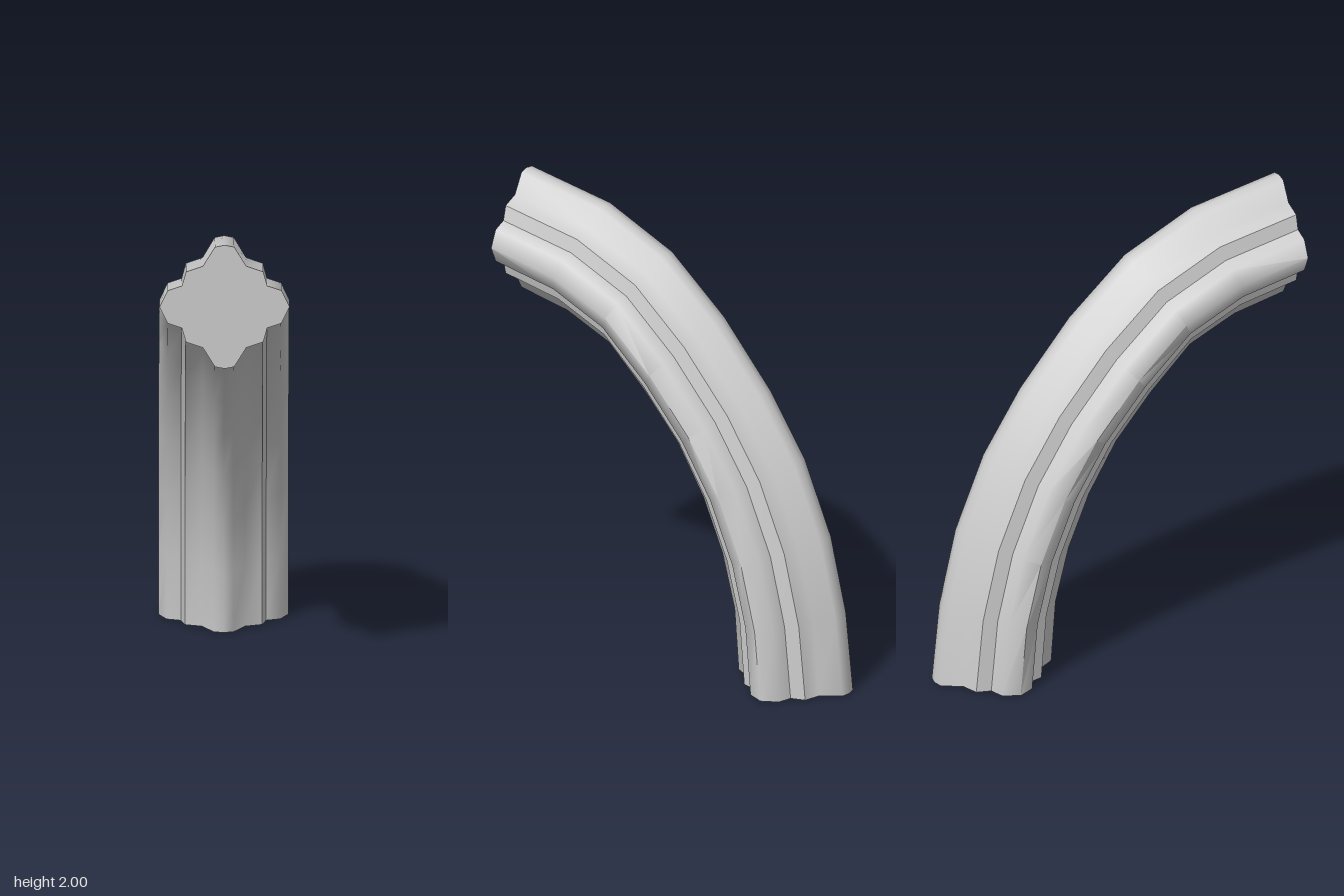
import * as THREE from 'three';
import { toCreasedNormals } from 'three/addons/utils/BufferGeometryUtils.js';

// Stations along the rib, as [z, y] on the outer and inner edge
const outer = [[0.8, 2], [0.41, 1.925], [0.1, 1.775], [-0.16, 1.54], [-0.39, 1.26],
  [-0.56, 0.99], [-0.69, 0.67], [-0.765, 0.34], [-0.8, 0]];
const inner = [[0.8, 1.465], [0.575, 1.415], [0.37, 1.32], [0.19, 1.14], [0.03, 0.95],
  [-0.095, 0.735], [-0.19, 0.505], [-0.25, 0.27], [-0.27, 0]];

// Quarter of the moulded section: [x, height from the middle as a part of half the depth]
const quarter = [[0.27, 0], [0.236, 0.265], [0.177, 0.34], [0.16, 0.57], [0.09, 0.66], [0.04, 0.97]];

// Mirror the quarter into a closed loop, anticlockwise from the front
function sectionLoop() {
  const half = [...quarter, [0, 1], ...quarter.slice(1).reverse().map(([x, h]) => [-x, h])];
  return [...half, ...half.map(([x, h]) => [-x, -h])];
}

function ribGeometry() {
  const loop = sectionLoop();
  const n = loop.length, last = outer.length - 1;
  const point = (s, [x, h]) => {
    const t = (h + 1) / 2;
    const mix = k => inner[s][k] + (outer[s][k] - inner[s][k]) * t;
    return [x, mix(1), mix(0)];
  };
  const pos = [];
  const tri = (...corners) => corners.forEach(c => pos.push(...c));
  for (let i = 0; i < n; i++) {
    const p = loop[i], q = loop[(i + 1) % n];
    // Moulded sides
    for (let s = 0; s < last; s++) {
      const a = point(s, p), b = point(s, q), c = point(s + 1, p), d = point(s + 1, q);
      tri(a, c, b);
      tri(b, c, d);
    }
    // Flat ends
    tri(point(0, [0, 0]), point(0, p), point(0, q));
    tri(point(last, [0, 0]), point(last, q), point(last, p));
  }
  const geometry = new THREE.BufferGeometry();
  geometry.setAttribute('position', new THREE.Float32BufferAttribute(pos, 3));
  return toCreasedNormals(geometry, THREE.MathUtils.degToRad(52));
}

export function createModel() {
  const group = new THREE.Group();
  group.name = 'archRib';
  const rib = new THREE.Mesh(ribGeometry(), new THREE.MeshStandardMaterial({ color: 0xcccccc }));
  rib.name = 'mouldedRib';
  group.add(rib);
  return group;
}
